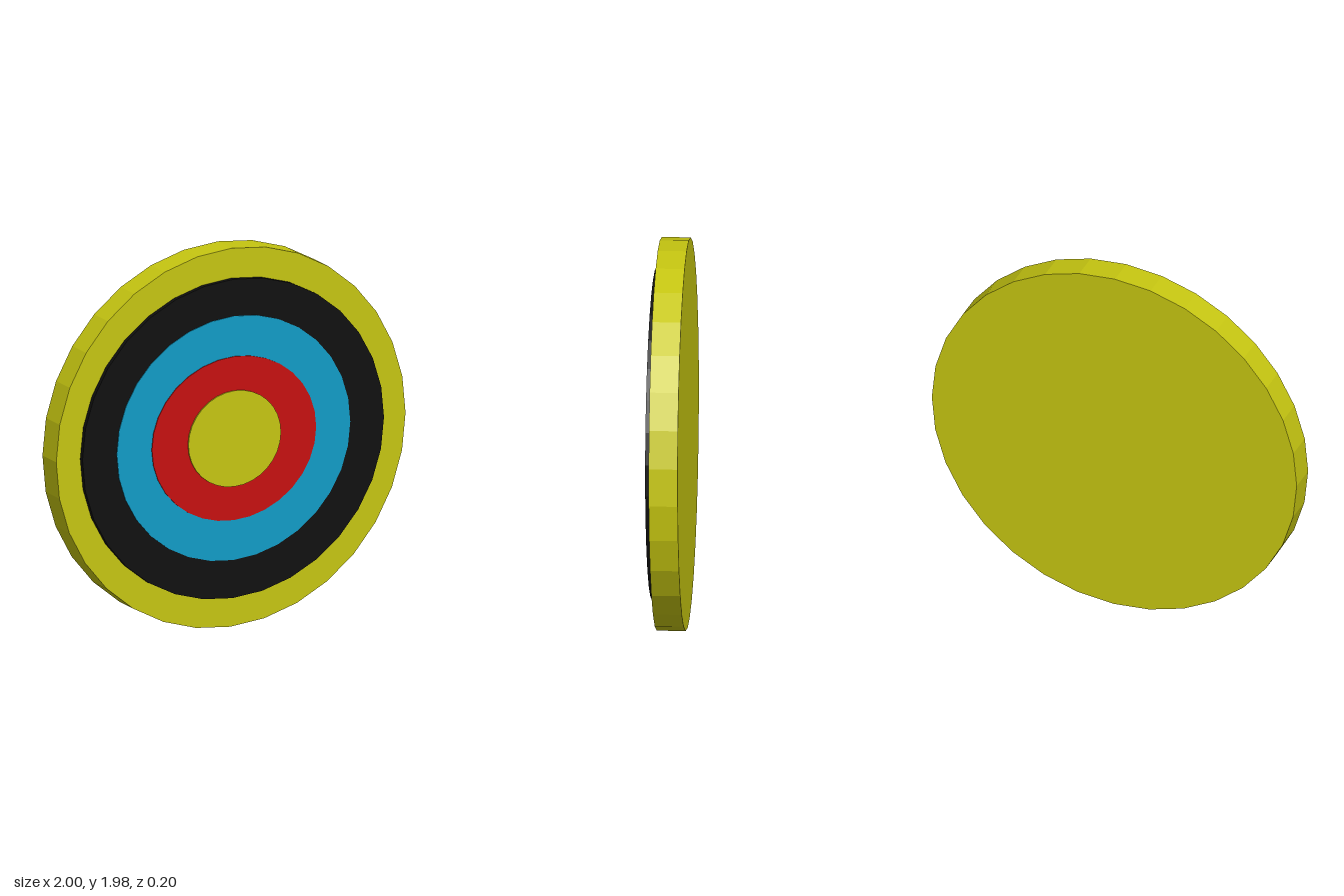
import * as THREE from 'three';

const paint = (name, color) => {
  const m = new THREE.MeshStandardMaterial({ color, flatShading: true });
  m.name = name;
  return m;
};

export function createModel() {
  const yellow = paint('yellow', 0xc6c611);
  const black = paint('black', 0x0f0f0f);
  const blue = paint('blue', 0x109dc8);
  const red = paint('red', 0xc80f0f);

  // Stacked discs: name, material, half width, half height, centre height, back z, front z
  const discs = [
    ['backingBoard', yellow, 1.0, 0.99, 0, -0.091, 0.055],
    ['blackRing', black, 0.863, 0.834, 0, 0.055, 0.08],
    ['blueRing', blue, 0.668, 0.638, 0.004, 0.08, 0.084],
    ['redRing', red, 0.47, 0.428, 0.004, 0.084, 0.089],
    ['bullseye', yellow, 0.265, 0.251, 0.004, 0.089, 0.096],
  ];

  const target = new THREE.Group();
  target.name = 'target';
  for (const [name, material, rx, ry, y, back, front] of discs) {
    const disc = new THREE.CylinderGeometry(1, 1, front - back, 32)
      .rotateX(Math.PI / 2)
      .scale(rx, ry, 1)
      .translate(0, y, (front + back) / 2);
    const mesh = new THREE.Mesh(disc, material);
    mesh.name = name;
    target.add(mesh);
  }

  // The whole target leans very slightly forward
  target.position.y = 0.993;
  target.rotation.x = 0.008;

  const model = new THREE.Group();
  model.name = 'archeryTarget';
  model.add(target);
  return model;
}
